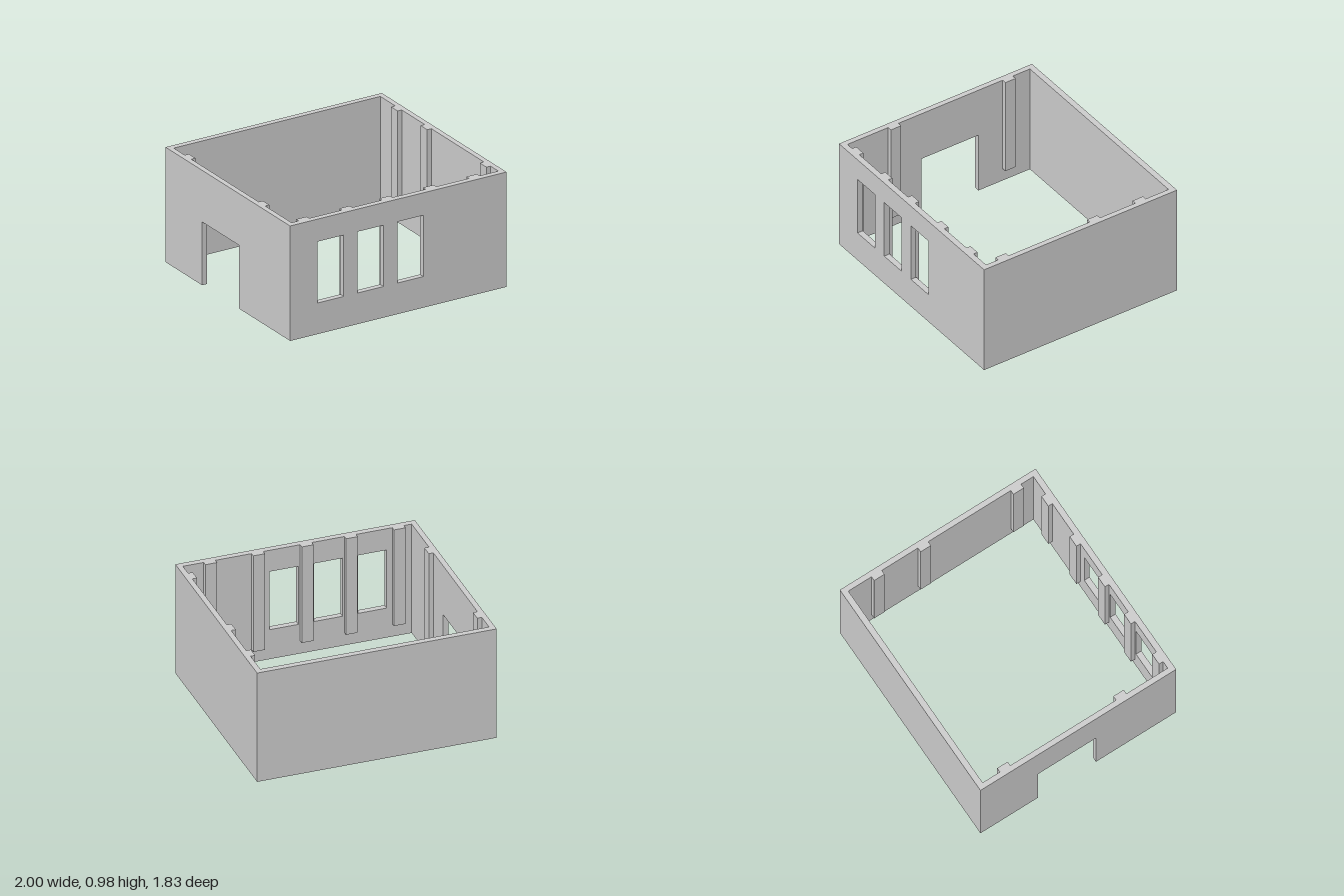
import * as THREE from 'three';

const W = 1, D = 0.917, H = 0.98;   // half width, half depth, height
const T = 0.05, S = 0.045;          // front/back and side wall thickness
const P = 0.038;                    // how far the pilasters stand out
const P_BASE = 0.115;               // pilasters stop above the ground

export function createModel() {
  const group = new THREE.Group();
  group.name = 'openRoom';
  const material = new THREE.MeshStandardMaterial({ color: 0xcccccc, flatShading: true });

  const add = (name, geometry) => {
    const mesh = new THREE.Mesh(geometry, material);
    mesh.name = name;
    group.add(mesh);
    return mesh;
  };

  // Box given by its extents on each axis
  const box = (name, x0, x1, y0, y1, z0, z1) =>
    add(name, new THREE.BoxGeometry(x1 - x0, y1 - y0, z1 - z0))
      .position.set((x0 + x1) / 2, (y0 + y1) / 2, (z0 + z1) / 2);

  const polygon = (Type, points) => new Type(points.map(([x, y]) => new THREE.Vector2(x, y)));
  const extrude = (shape, depth) =>
    new THREE.ExtrudeGeometry(shape, { depth, bevelEnabled: false });

  // Front wall with three windows
  const front = polygon(THREE.Shape, [[-W, 0], [W, 0], [W, H], [-W, H]]);
  for (const x of [-0.745, -0.377, -0.009]) {
    front.holes.push(polygon(THREE.Path,
      [[x, 0.265], [x, 0.788], [x + 0.24, 0.788], [x + 0.24, 0.265]]));
  }
  add('frontWall', extrude(front, T)).position.z = D - T;

  // Plain back wall and the closed side wall
  box('backWall', -W, W, 0, H, -D, -D + T);
  box('leftWall', W - S, W, 0, H, -D + T, D - T);

  // Side wall with a doorway cut up from the ground (shape x runs along -z)
  const e = D - T, d0 = -0.165, d1 = 0.378, doorTop = 0.54;
  const side = polygon(THREE.Shape, [
    [-e, 0], [d0, 0], [d0, doorTop], [d1, doorTop], [d1, 0], [e, 0], [e, H], [-e, H],
  ]);
  const doorWall = add('doorWall', extrude(side, S));
  doorWall.rotation.y = Math.PI / 2;
  doorWall.position.x = -W;

  // Pilasters on the inside of the front and side walls
  for (const x of [-0.89, -0.49, -0.12, 0.285, 0.685]) {
    box('frontPilaster', x, x + 0.097, P_BASE, H, D - T - P, D - T);
  }
  for (const z of [-0.65, -0.215, 0.655]) {
    box('leftPilaster', W - S - P, W - S, P_BASE, H, z, z + 0.097);
  }
  for (const z of [-0.705, 0.383]) {
    box('rightPilaster', -W + S, -W + S + P, P_BASE, H, z, z + 0.097);
  }

  return group;
}
